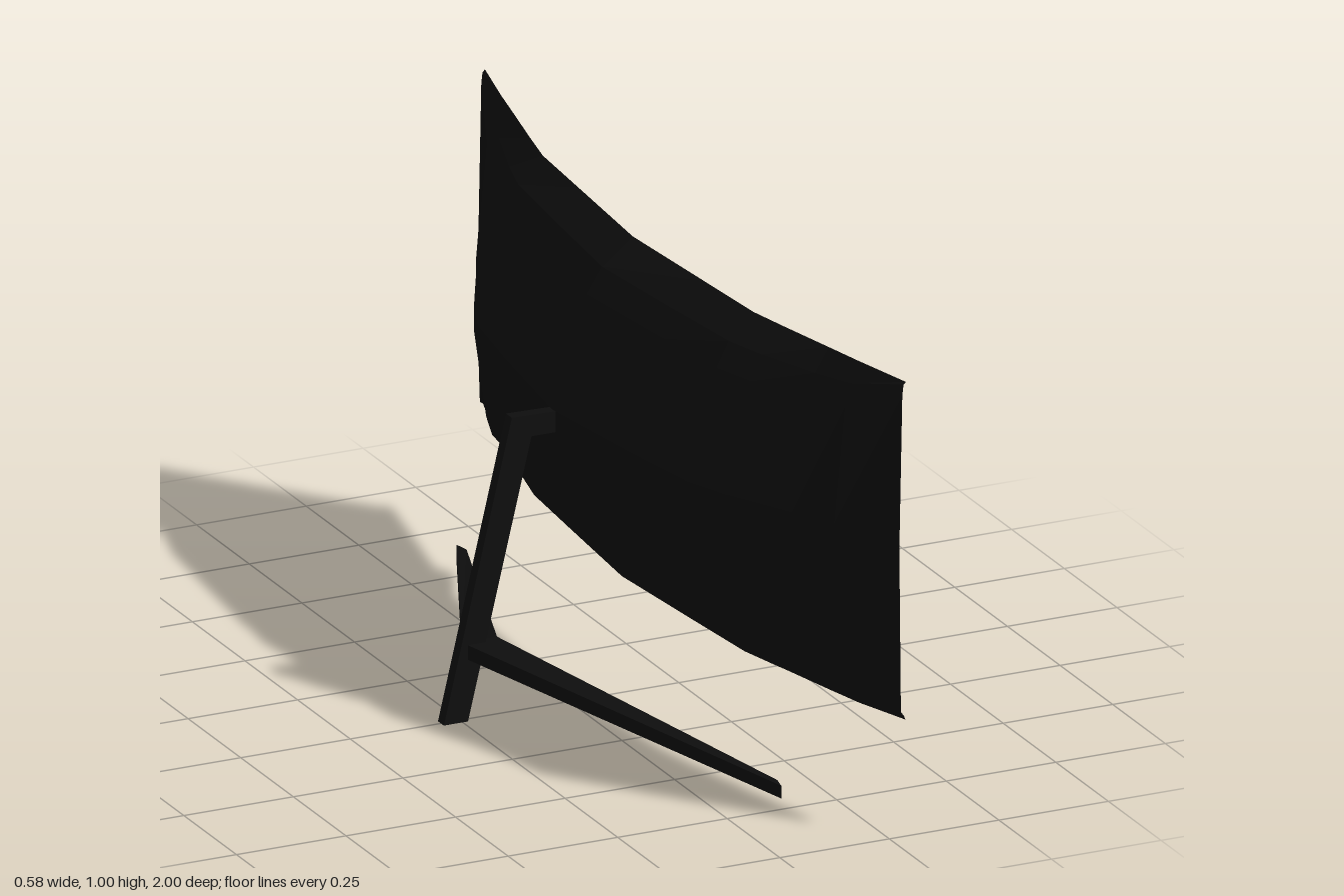
import * as THREE from 'three';

// Block running along z whose two end faces are given as [[x, z] outer, [x, z] inner, yLow, yHigh]
function taperedBar(endLow, endHigh) {
  const geo = new THREE.BoxGeometry(1, 1, 1).toNonIndexed();
  const p = geo.attributes.position;
  for (let i = 0; i < p.count; i++) {
    const end = p.getZ(i) < 0 ? endLow : endHigh;
    const [x, z] = p.getX(i) < 0 ? end[0] : end[1];
    p.setXYZ(i, x, p.getY(i) < 0 ? end[2] : end[3], z);
  }
  geo.computeVertexNormals();
  return geo;
}

// Open, curved rear housing lofted through cross-sections along z
function shellGeometry() {
  // [depth behind the front rim, y at the middle, y at the side edges]
  const profile = [
    [0, 1, 1], [0.07, 0.945, 0.995], [0.105, 0.89, 0.97], [0.185, 0.65, 0.65], [0.185, 0.6, 0.6],
    [0.145, 0.405, 0.27], [0.055, 0.39, 0.265], [0.025, 0.256, 0.258], [0, 0.246, 0.256],
  ];
  // [z, rim x, depth scale, how far heights move to their side values]
  const half = [
    [0, 0.145, 1, 0], [0.3, 0.166, 0.9, 0], [0.5, 0.18, 0.8, 0], [0.6, 0.2, 0.7, 0],
    [0.75, 0.232, 0.46, 0.06], [0.85, 0.253, 0.31, 0.2], [1, 0.288, 0.08, 1],
  ];
  const sections = [
    ...half.slice(1).reverse().map(([z, ...rest]) => [-z, ...rest]),
    ...half,
  ];
  const pos = [], index = [];
  const n = profile.length;
  sections.forEach(([z, rim, k, c], i) => {
    profile.forEach(([d, y0, y1], j) => {
      pos.push(rim - d * k, y0 + (y1 - y0) * c, z);
      if (i < sections.length - 1 && j < n - 1) {
        const a = i * n + j;
        index.push(a, a + 1, a + n, a + 1, a + n + 1, a + n);
      }
    });
  });
  const geo = new THREE.BufferGeometry();
  geo.setAttribute('position', new THREE.Float32BufferAttribute(pos, 3));
  geo.setIndex(index);
  const flat = geo.toNonIndexed();
  flat.computeVertexNormals();
  return flat;
}

export function createModel() {
  const group = new THREE.Group();
  const black = new THREE.MeshStandardMaterial({ color: 0x0d0d0d, side: THREE.DoubleSide });
  black.name = 'matte black';

  const add = (name, geo) => {
    const mesh = new THREE.Mesh(geo, black);
    mesh.name = name;
    group.add(mesh);
  };

  add('curvedScreenHousing', shellGeometry());

  // Leaning post with the short arm that meets the housing
  const outline = [
    [-0.293, 0], [-0.238, 0], [-0.093, 0.604], [-0.035, 0.604], [-0.035, 0.65], [-0.138, 0.652],
  ].map(([x, y]) => new THREE.Vector2(x, y));
  const post = new THREE.ExtrudeGeometry(new THREE.Shape(outline), { depth: 0.028, bevelEnabled: false });
  post.translate(0, 0, -0.014);
  add('standPost', post);

  // Two splayed front legs
  const root = [[-0.245, 0], [-0.165, 0], 0.138, 0.17];
  const tip = (s) => [[0.113, 0.772 * s], [0.12, 0.738 * s], 0.033, 0.061];
  add('leftLeg', taperedBar(root, tip(1)));
  add('rightLeg', taperedBar(tip(-1), root));

  return group;
}
